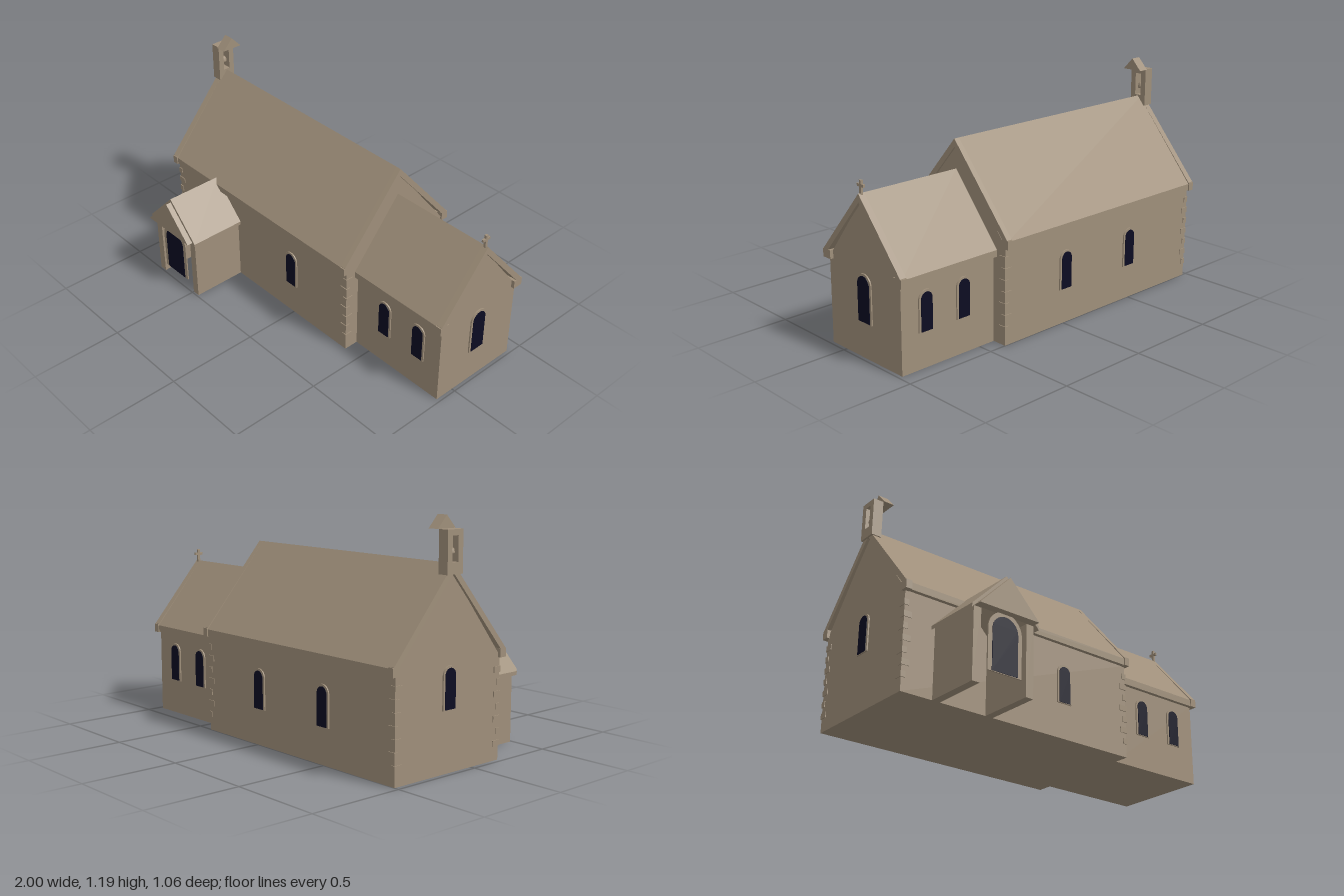
import * as THREE from 'three';

const stone = new THREE.MeshStandardMaterial({ color: 0x9f8f7a });
stone.name = 'sandstone';
const glass = new THREE.MeshStandardMaterial({ color: 0x0c0c22 });
glass.name = 'dark glass';

const RIDGE_Z = -0.155;

function add(parent, name, geometry, material = stone) {
  const mesh = new THREE.Mesh(geometry, material);
  mesh.name = name;
  parent.add(mesh);
  return mesh;
}

// Box given by its minimum and maximum on each axis
function block(parent, name, [x0, x1], [y0, y1], [z0, z1]) {
  const g = new THREE.BoxGeometry(x1 - x0, y1 - y0, z1 - z0);
  g.translate((x0 + x1) / 2, (y0 + y1) / 2, (z0 + z1) / 2);
  return add(parent, name, g);
}

function polygon(points) {
  return new THREE.Shape(points.map(([x, y]) => new THREE.Vector2(x, y)));
}

function extrude(shape, depth) {
  return new THREE.ExtrudeGeometry(shape, { depth, bevelEnabled: false, curveSegments: 10 });
}

// Cross-section symmetric about the ridge, running from x0 to x1
function alongX(parent, name, shape, x0, x1) {
  const g = extrude(shape, x1 - x0);
  g.rotateY(Math.PI / 2).translate(x0, 0, RIDGE_Z);
  return add(parent, name, g);
}

const gabled = (half, eave, apex) =>
  polygon([[-half, 0], [half, 0], [half, eave], [0, apex], [-half, eave]]);

// Inverted V with an upright edge at the eaves
const chevron = (half, eave, apex, drop) =>
  polygon([[half, eave], [0, apex], [-half, eave], [-half, eave - drop], [0, apex - drop], [half, eave - drop]]);

// Round-headed outline
function arch(half, y0, y1, Type = THREE.Shape) {
  const s = new Type();
  s.moveTo(-half, y0);
  s.lineTo(half, y0);
  s.lineTo(half, y1 - half);
  s.absarc(0, y1 - half, half, 0, Math.PI, false);
  s.lineTo(-half, y0);
  return s;
}

// Arched opening with a stone surround, standing proud of a wall
function opening(parent, name, x, z, turn, half, y0, y1, rim) {
  const group = new THREE.Group();
  group.name = name;
  const frame = arch(half + rim, y0, y1 + rim);
  frame.holes.push(arch(half, y0 + 0.003, y1, THREE.Path));
  add(group, 'surround', extrude(frame, 0.007));
  add(group, 'pane', extrude(arch(half, y0 + 0.003, y1), 0.0095), glass);
  group.position.set(x, 0, z);
  group.rotation.y = turn;
  parent.add(group);
}

// Walls, roof, copings and kneelers of one gabled range
function range(name, o) {
  const group = new THREE.Group();
  group.name = name;
  alongX(group, 'walls', gabled(o.half, o.eave - 0.03, o.apex - 0.03), o.x0, o.x1);
  alongX(group, 'roof', chevron(o.roofHalf, o.eave, o.apex, 0.035), o.r0, o.r1);
  for (const [a, b] of o.ends) {
    alongX(group, 'coping', chevron(o.roofHalf, o.eave + 0.008, o.apex, 0.042), a, b);
    for (const s of [-1, 1]) {
      const z = [RIDGE_Z + s * (o.roofHalf + 0.006), RIDGE_Z + s * (o.roofHalf - o.kneeler)].sort((p, q) => p - q);
      block(group, 'kneeler', [a, b], [o.eave - 0.038, o.eave + 0.006], z);
    }
  }
  // Eaves course
  for (const s of [-1, 1]) {
    const z = [RIDGE_Z + s * (o.half - 0.01), RIDGE_Z + s * (o.roofHalf - 0.002)].sort((p, q) => p - q);
    block(group, 'eavesCourse', [o.r0 + 0.002, o.r1 - 0.002], [o.eave - 0.036, o.eave - 0.005], z);
  }
  return group;
}

function makePorch() {
  const porch = new THREE.Group();
  porch.name = 'porch';
  const cx = -0.63;
  for (const s of [-1, 1]) {
    const x = [cx + s * 0.13, cx + s * 0.172].sort((p, q) => p - q);
    block(porch, 'porchWall', x, [0, 0.365], [0.185, 0.49]);
  }
  const roof = extrude(chevron(0.192, 0.366, 0.563, 0.02), 0.315);
  roof.translate(cx, 0, 0.19);
  add(porch, 'porchRoof', roof);
  const gable = extrude(polygon([[-0.17, 0.366], [0.17, 0.366], [0, 0.543]]), 0.045);
  gable.translate(cx, 0, 0.49);
  add(porch, 'porchGable', gable);
  opening(porch, 'porchDoor', cx, 0.493, 0, 0.073, 0.07, 0.352, 0.023);
  return porch;
}

function makeBellcote() {
  const cote = new THREE.Group();
  cote.name = 'bellcote';
  const frame = polygon([[-0.05, 0.925], [0.05, 0.925], [0.05, 1.128], [-0.05, 1.128]]);
  frame.holes.push(new THREE.Path([[-0.019, 0.98], [0.019, 0.98], [0.019, 1.1], [-0.019, 1.1]]
    .map(([x, y]) => new THREE.Vector2(x, y))));
  alongX(cote, 'bellFrame', frame, -1, -0.945);
  alongX(cote, 'bellcoteCap', polygon([[-0.058, 1.128], [0.058, 1.128], [0, 1.19]]), -0.945, -0.888);
  // Bell: dome with a flared open mouth
  const profile = [[0, 0.018], [0.009, 0.016], [0.015, 0.008], [0.018, -0.006], [0.018, -0.014], [0, -0.017]]
    .reverse().map(([r, y]) => new THREE.Vector2(r, y));
  add(cote, 'bell', new THREE.LatheGeometry(profile, 16)).position.set(-0.972, 1.03, RIDGE_Z);
  return cote;
}

export function createModel() {
  const church = new THREE.Group();
  church.name = 'church';

  const nave = range('nave', {
    x0: -0.975, x1: 0.405, r0: -0.985, r1: 0.412, half: 0.345, roofHalf: 0.368,
    eave: 0.54, apex: 0.975, kneeler: 0.035, ends: [[-0.99, -0.957], [0.385, 0.415]],
  });
  const chancel = range('chancel', {
    x0: 0.4, x1: 0.98, r0: 0.405, r1: 0.985, half: 0.265, roofHalf: 0.288,
    eave: 0.48, apex: 0.823, kneeler: 0.05, ends: [[0.963, 0.998]],
  });
  church.add(nave, chancel, makePorch(), makeBellcote());

  // Alternating corner stones on the nave
  for (const sx of [-1, 1]) {
    for (const sz of [-1, 1]) {
      for (let i = 0; i < 7; i++) {
        const x = sx < 0 ? -0.975 : 0.405;
        const z = RIDGE_Z + sz * 0.345;
        const [lx, lz] = i % 2 ? [0.04, 0.022] : [0.022, 0.04];
        const xs = [x + sx * 0.004, x - sx * lx].sort((p, q) => p - q);
        const zs = [z + sz * 0.004, z - sz * lz].sort((p, q) => p - q);
        block(nave, 'quoin', xs, [0.07 + i * 0.06, 0.1 + i * 0.06], zs);
      }
    }
  }

  // Side windows
  const win = [0.034, 0.185, 0.382, 0.011];
  opening(nave, 'naveWindow', -0.015, 0.19, 0, ...win);
  for (const x of [-0.015, -0.495]) opening(nave, 'naveWindow', x, -0.5, Math.PI, ...win);
  for (const x of [0.602, 0.833]) {
    opening(chancel, 'chancelWindow', x, 0.11, 0, ...win);
    opening(chancel, 'chancelWindow', x, -0.42, Math.PI, ...win);
  }
  // End windows
  opening(chancel, 'eastWindow', 0.98, RIDGE_Z, Math.PI / 2, 0.043, 0.185, 0.42, 0.012);
  opening(nave, 'westWindow', -0.975, RIDGE_Z, -Math.PI / 2, 0.034, 0.3, 0.497, 0.011);

  // Gable cross
  const cross = new THREE.Group();
  cross.name = 'gableCross';
  block(cross, 'crossUpright', [0.974, 0.986], [0.81, 0.885], [RIDGE_Z - 0.007, RIDGE_Z + 0.007]);
  block(cross, 'crossArm', [0.9745, 0.9855], [0.853, 0.867], [RIDGE_Z - 0.024, RIDGE_Z + 0.024]);
  church.add(cross);

  return church;
}
